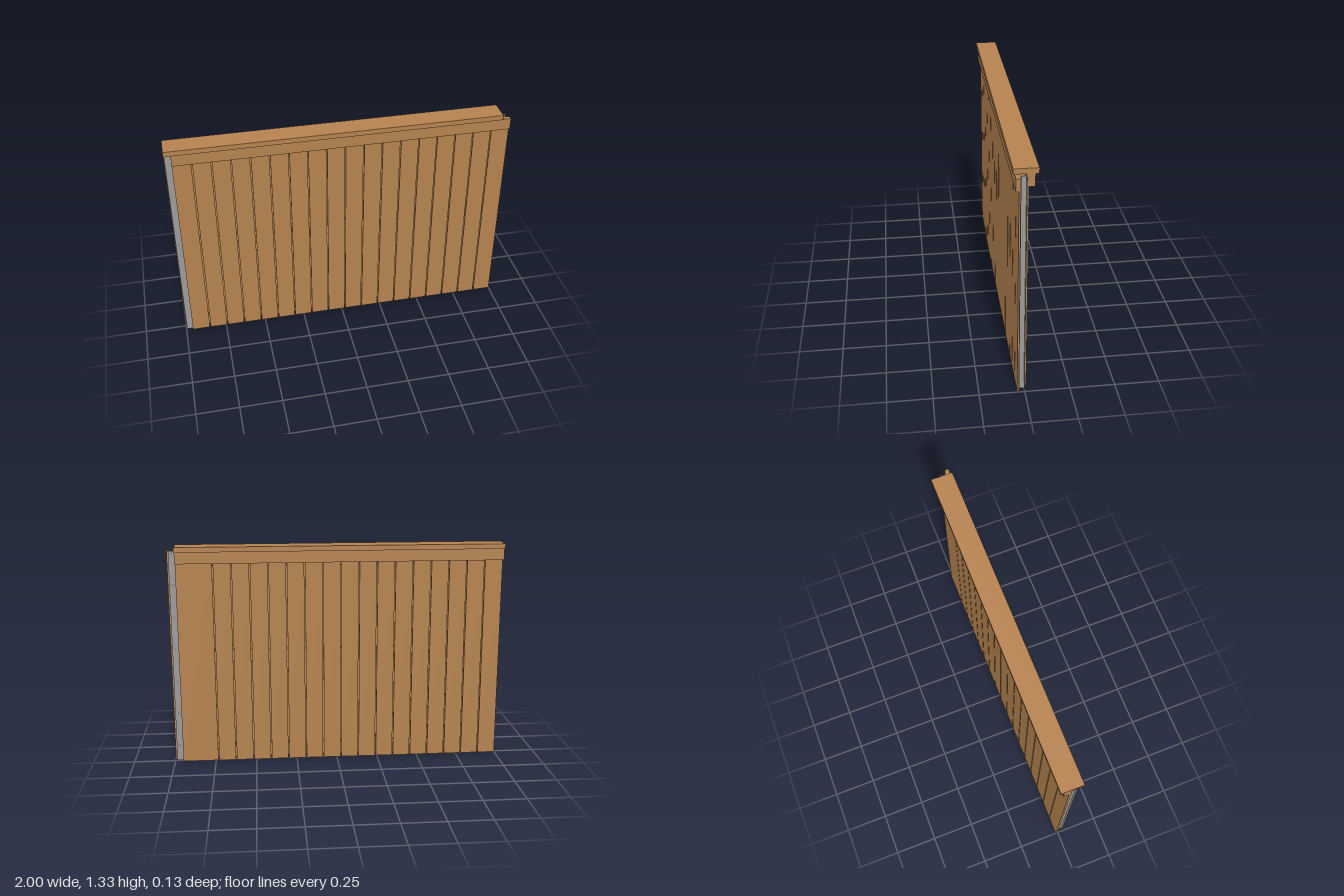
import * as THREE from 'three';

const wood = new THREE.MeshStandardMaterial({ color: 0xb5824f });
const metal = new THREE.MeshStandardMaterial({ color: 0x9a9a9a });

// Box given by its limits on each axis
function block(parent, name, [x0, x1], [y0, y1], [z0, z1], material = wood) {
  const mesh = new THREE.Mesh(new THREE.BoxGeometry(x1 - x0, y1 - y0, z1 - z0), material);
  mesh.position.set((x0 + x1) / 2, (y0 + y1) / 2, (z0 + z1) / 2);
  mesh.name = name;
  parent.add(mesh);
}

// Row of upright boards with narrow gaps, between consecutive seam positions
function boardRow(parent, name, seams, z) {
  const row = new THREE.Group();
  row.name = name;
  const gap = 0.003;
  for (let i = 0; i < seams.length - 1; i++) {
    const a = seams[i] + (i > 0 ? gap : 0);
    const b = seams[i + 1] - (i < seams.length - 2 ? gap : 0);
    block(row, 'board', [a, b], [0, 1.3], z);
  }
  parent.add(row);
}

const seamList = (x0, x1, n) => Array.from({ length: n + 1 }, (_, i) => x0 + ((x1 - x0) * i) / n);

export function createModel() {
  const group = new THREE.Group();
  group.name = 'fencePanel';
  const top = 1.3, inner = [-0.002, 0.033];

  // Two board skins, offset sideways so neighbouring panels overlap
  boardRow(group, 'frontBoards', seamList(-0.96, 1, 18), [0.033, 0.042]);
  const backSeams = seamList(-1, 0.95, 18);
  backSeams.splice(17, 1); // the last back board is double width
  boardRow(group, 'backBoards', backSeams, [-0.014, -0.002]);

  // Horizontal battens between the skins
  for (const y of [0.02, 0.62, 1.21]) {
    block(group, 'batten', [-0.93, 0.93], [y, y + 0.08], [0.001, 0.03]);
  }

  // Metal end posts: two flanges joined by a web
  for (const s of [-1, 1]) {
    const post = new THREE.Group();
    post.name = s < 0 ? 'rightPost' : 'leftPost';
    const span = (a, b) => (s < 0 ? [-b - 0.008, -a - 0.008] : [a, b]);
    block(post, 'web', span(0.968, 0.973), [0.003, top], inner, metal);
    block(post, 'backFlange', span(0.93, 0.988), [0.003, top], [-0.0015, 0.002], metal);
    block(post, 'frontFlange', span(0.93, 0.988), [0.003, top], [0.029, 0.0325], metal);
    group.add(post);
  }

  // Top rails and cap
  block(group, 'frontRail', [-0.96, 1], [1.23, top], [0.042, 0.058]);
  block(group, 'backRail', [-1, 0.95], [1.23, top], [-0.046, -0.014]);
  block(group, 'cap', [-1, 0.95], [top, 1.33], [-0.065, 0.065]);

  return group;
}
